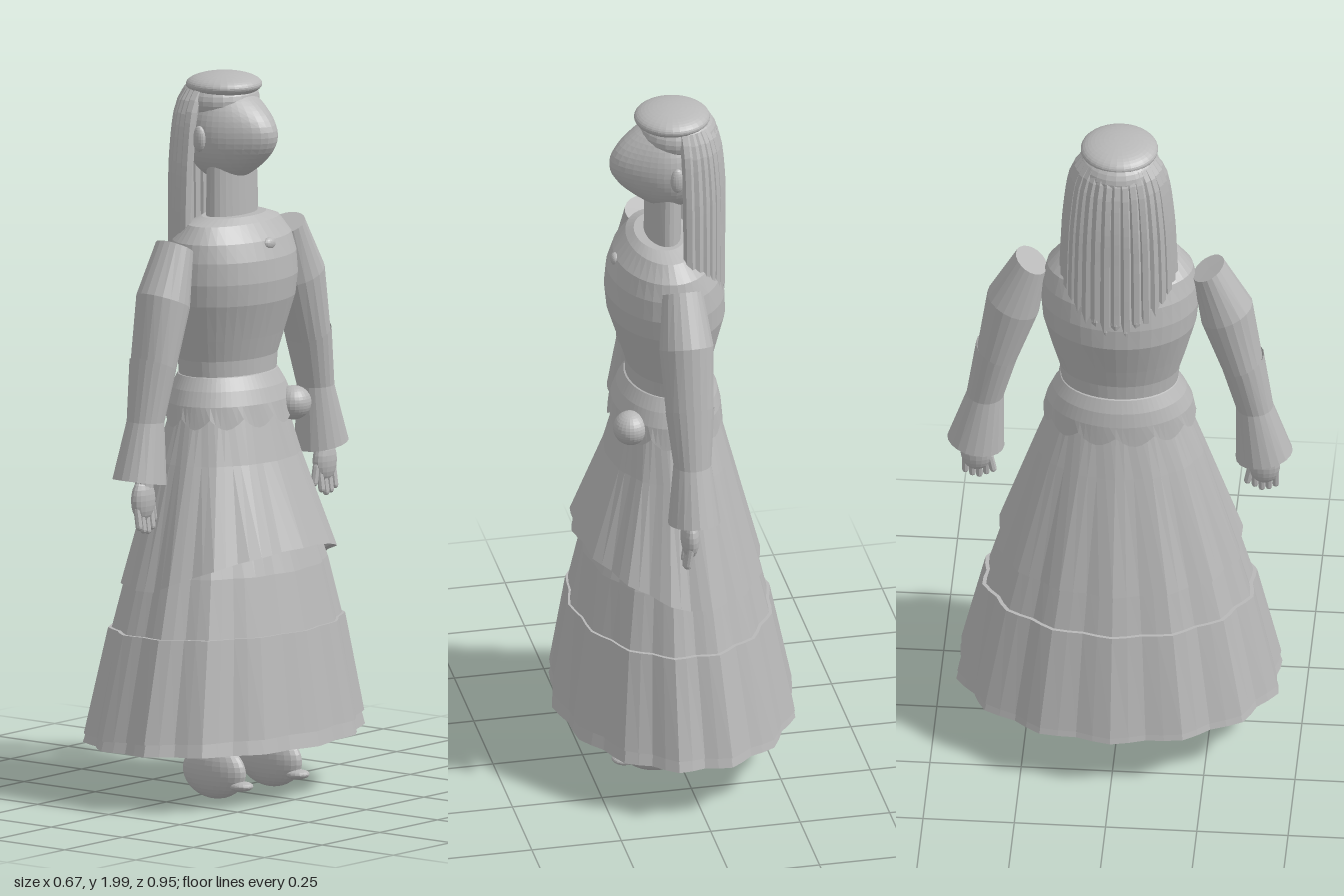
import * as THREE from 'three';

const grey = new THREE.MeshStandardMaterial({ color: 0xb8b8b8, side: THREE.DoubleSide, flatShading: true });
grey.name = 'plain grey';

// Skin rings (functions of angle giving a point), ordered top to bottom
function loft(rings, n) {
  const pos = [], index = [];
  rings.forEach((ring) => {
    for (let j = 0; j <= n; j++) pos.push(...ring((j / n) * Math.PI * 2));
  });
  for (let i = 0; i < rings.length - 1; i++) {
    for (let j = 0; j < n; j++) {
      const a = i * (n + 1) + j, c = a + n + 1;
      index.push(a, a + 1, c, a + 1, c + 1, c);
    }
  }
  const g = new THREE.BufferGeometry();
  g.setAttribute('position', new THREE.Float32BufferAttribute(pos, 3));
  g.setIndex(index);
  g.computeVertexNormals();
  return g;
}

// Oval ring with optional ripple and a hem that rises or falls with the angle
const oval = (y, cx, rx, rz, ripple = 0, lift = () => 0) => (t) => {
  const k = 1 + ripple * Math.cos(14 * t);
  return [cx + rx * k * Math.cos(t), y + lift(t), rz * k * Math.sin(t)];
};

export function createModel() {
  const model = new THREE.Group();
  model.name = 'woman';

  const add = (name, geometry, parent = model) => {
    const m = new THREE.Mesh(geometry, grey);
    m.name = name;
    parent.add(m);
    return m;
  };
  const ball = (name, p, r, parent = model, seg = 24) => {
    const m = add(name, new THREE.SphereGeometry(1, seg, Math.ceil(seg * 0.7)), parent);
    m.position.set(...p);
    m.scale.set(...r);
    return m;
  };

  // Head: a sphere whose front is drawn out to a pointed nose
  const head = new THREE.SphereGeometry(1, 40, 28);
  const v = head.attributes.position;
  for (let i = 0; i < v.count; i++) {
    const nx = v.getX(i), ny = v.getY(i);
    const pull = nx > 0 ? 0.05 * Math.pow(nx, 4) : 0;
    v.setXYZ(i, 0.01 + nx * 0.115 + pull, 1.835 + ny * 0.135, v.getZ(i) * 0.118);
  }
  head.computeVertexNormals();
  add('head', head);
  add('neck', loft([oval(1.75, 0.025, 0.048, 0.09), oval(1.58, 0.028, 0.048, 0.095)], 24));
  for (const s of [1, -1]) ball('ear', [0.01, 1.83, s * 0.12], [0.02, 0.036, 0.014], model, 16);

  // Cap: dome at the back with a flat oval on top
  ball('hairCap', [-0.015, 1.925, 0], [0.108, 0.07, 0.112]);
  ball('cap', [0, 1.966, 0], [0.104, 0.034, 0.106], model, 32);

  // Hair: hanging strands around the back and sides
  const hair = new THREE.Group();
  hair.name = 'hair';
  model.add(hair);
  const strands = 17;
  for (let i = 0; i < strands; i++) {
    const t = Math.PI / 2 + 0.06 + (i / (strands - 1)) * (Math.PI - 0.12);
    const back = -Math.cos(t);
    const end = 1.58 - 0.12 * Math.sqrt(back) - (i % 2) * 0.025;
    const at = (y, rx, rz) => new THREE.Vector3(-0.012 + rx * Math.cos(t), y, rz * Math.sin(t));
    const path = new THREE.CatmullRomCurve3([
      at(1.95, 0.08, 0.09), at(1.91, 0.1, 0.115), at(1.78, 0.115, 0.135),
      at(1.66, 0.115, 0.142), at(end, 0.113, 0.146)]);
    add('strand', new THREE.TubeGeometry(path, 14, 0.018, 7), hair);
    const tip = at(end, 0.113, 0.146);
    ball('strandTip', [tip.x, tip.y, tip.z], [0.018, 0.03, 0.018], hair, 8);
  }

  // Bodice with closed top, and brooch
  add('bodice', loft([
    oval(1.612, 0.035, 0, 0), oval(1.612, 0.035, 0.068, 0.112), oval(1.595, 0.032, 0.092, 0.165),
    oval(1.55, 0.028, 0.132, 0.2), oval(1.5, 0.025, 0.153, 0.212), oval(1.44, 0.022, 0.162, 0.216),
    oval(1.38, 0.018, 0.16, 0.21), oval(1.28, 0.015, 0.131, 0.183), oval(1.22, 0.013, 0.115, 0.165),
    oval(1.16, 0.013, 0.113, 0.158)], 40));
  ball('brooch', [0.158, 1.54, 0], [0.014, 0.017, 0.024], model, 16);

  // Scalloped peplum and the pouch hanging at the hip
  const scallop = (t) => -0.028 * Math.abs(Math.sin(6 * t));
  add('peplum', loft([
    oval(1.178, 0.013, 0.11, 0.155), oval(1.175, 0.013, 0.118, 0.162), oval(1.14, 0.015, 0.136, 0.183),
    oval(1.1, 0.018, 0.148, 0.2), oval(1.066, 0.02, 0.155, 0.209, 0, scallop)], 72));
  ball('pouch', [0.143, 1.08, -0.125], [0.048, 0.047, 0.051]);

  // Skirt: overlapping rippled tiers, the upper one raised at the front
  const frontRise = (t) => 0.108 * Math.max(0, Math.cos(t));
  add('upperTier', loft([
    oval(1.1, 0.015, 0.13, 0.178), oval(0.94, 0.015, 0.17, 0.232, 0.012),
    oval(0.6, 0.017, 0.257, 0.334, 0.024, frontRise),
    oval(0.604, 0.016, 0.243, 0.322, 0.024, frontRise)], 56));
  add('middleTier', loft([
    oval(0.82, 0.012, 0.175, 0.25, 0.015), oval(0.64, 0.012, 0.232, 0.318, 0.02),
    oval(0.46, 0.01, 0.272, 0.368, 0.022)], 56));
  add('lowerTier', loft([
    oval(0.48, 0.01, 0.26, 0.356, 0.022), oval(0.48, 0.009, 0.275, 0.373, 0.022),
    oval(0.195, 0, 0.326, 0.438, 0.026, (t) => 0.012 * Math.cos(t)),
    oval(0.197, 0, 0.318, 0.43, 0.026, (t) => 0.012 * Math.cos(t))], 56));
  add('underskirt', loft([
    oval(0.4, 0.004, 0.27, 0.372, 0.022), oval(0.165, 0, 0.327, 0.441, 0.026),
    oval(0.168, 0, 0.318, 0.432, 0.026)], 56));

  // One limb set, mirrored across z
  for (const s of [1, -1]) {
    const side = new THREE.Group();
    side.name = s > 0 ? 'rightSide' : 'leftSide';
    side.scale.z = s;
    model.add(side);

    // Sleeve ring from outer point, inner point and half depth
    const cut = (zo, yo, zi, yi, rx) => (t) => {
      const k = Math.sin(t);
      return [0.023 + rx * Math.cos(t), (yo + yi) / 2 + k * (yo - yi) / 2, (zo + zi) / 2 + k * (zo - zi) / 2];
    };
    add('upperSleeve', loft([
      cut(0.243, 1.548, 0.243, 1.548, 0), cut(0.285, 1.572, 0.2, 1.525, 0.056),
      cut(0.363, 1.435, 0.222, 1.375, 0.075), cut(0.39, 1.25, 0.285, 1.2, 0.066)], 20), side);
    add('lowerSleeve', loft([
      cut(0.394, 1.26, 0.281, 1.21, 0.068), cut(0.42, 1.085, 0.318, 1.08, 0.052),
      cut(0.473, 0.932, 0.317, 0.903, 0.072)], 20), side);

    // Hand with four fingers and a thumb
    const hand = new THREE.Group();
    hand.name = 'hand';
    side.add(hand);
    add('wrist', loft([oval(1.05, 0.03, 0.026, 0.03), oval(0.88, 0.035, 0.02, 0.032)], 12), hand)
      .position.z = 0.388;
    ball('palm', [0.035, 0.87, 0.394], [0.025, 0.06, 0.044], hand, 16);
    for (let f = 0; f < 4; f++) {
      const finger = add('finger', new THREE.CapsuleGeometry(0.0095, 0.05, 3, 8), hand);
      finger.position.set(0.042, 0.806 + 0.01 * Math.abs(f - 1.3), 0.368 + f * 0.019);
      finger.rotation.z = 0.15;
    }
    const thumb = add('thumb', new THREE.CapsuleGeometry(0.01, 0.045, 3, 8), hand);
    thumb.position.set(0.035, 0.835, 0.353);
    thumb.rotation.x = 0.2;

    // Leg, rounded shoe and turned-up toe
    const leg = add('leg', new THREE.CylinderGeometry(0.06, 0.038, 0.85, 16), side);
    leg.position.set(0.02, 0.545, 0.12);
    ball('shoe', [0.065, 0.083, 0.122], [0.105, 0.076, 0.045], side);
    const toe = ball('toe', [0.16, 0.05, 0.122], [0.035, 0.014, 0.03], side, 16);
    toe.rotation.z = 0.05;
  }
  return model;
}
